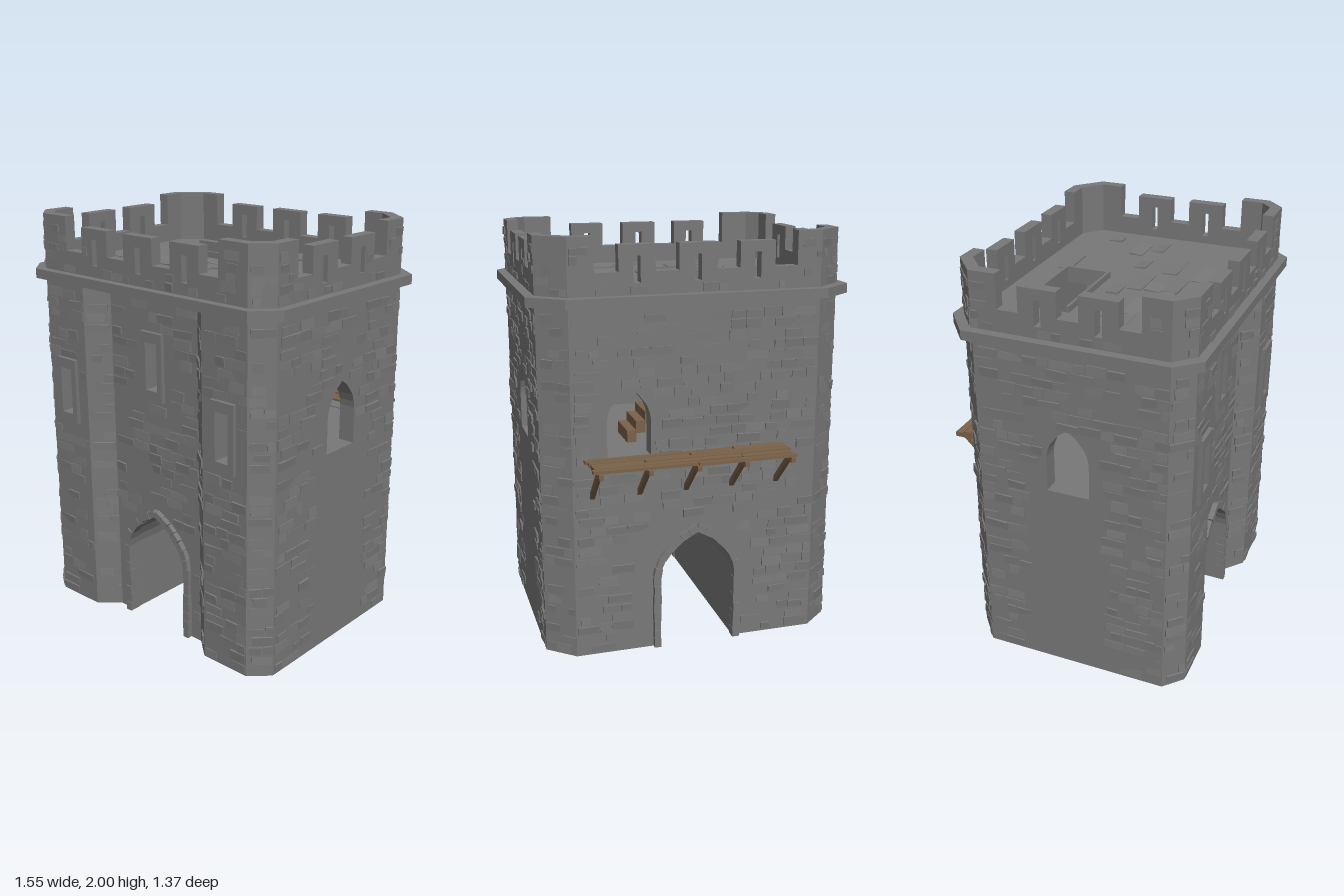
import * as THREE from 'three';
import { mergeGeometries } from 'three/addons/utils/BufferGeometryUtils.js';

const stone = new THREE.MeshStandardMaterial({ color: 0x787878, flatShading: true });
stone.name = 'grey stone';
const wood = new THREE.MeshStandardMaterial({ color: 0x7a6249, flatShading: true });
wood.name = 'brown wood';

let seed = 7;
const rnd = () => (seed = (seed * 16807) % 2147483647) / 2147483647;
const vary = (a, b) => a + (b - a) * rnd();
const V = (x, y) => new THREE.Vector2(x, y);

function add(parent, name, geo, mat = stone) {
  const m = new THREE.Mesh(geo, mat);
  m.name = name;
  parent.add(m);
  return m;
}
function box(w, h, d, x, y, z) {
  return new THREE.BoxGeometry(w, h, d).translate(x, y, z);
}
const extrude = (shape, depth) => new THREE.ExtrudeGeometry(shape, { depth, bevelEnabled: false });
const rect = (x0, x1, y0, y1) => [V(x0, y0), V(x1, y0), V(x1, y1), V(x0, y1)];

// Pointed arch outline, from bottom right over the peak to bottom left
function arch(cx, hw, y0, spring, peak) {
  const half = [[1, 0], [0.95, 0.2], [0.82, 0.44], [0.42, 0.79]].map(([a, b]) => [a * hw, spring + b * (peak - spring)]);
  return [V(cx + hw, y0), ...half.map(([x, y]) => V(cx + x, y)), V(cx, peak),
    ...half.reverse().map(([x, y]) => V(cx - x, y)), V(cx - hw, y0)];
}
// Horizontal slab from a plan outline of [x, z] points
function slab(plan, y, h, hole) {
  const s = new THREE.Shape(plan.map(([x, z]) => V(x, -z)));
  if (hole) s.holes.push(new THREE.Path(hole.map(([x, z]) => V(x, -z))));
  return extrude(s, h).rotateX(-Math.PI / 2).translate(0, y, 0);
}
// Group standing on a plan edge: local x runs along it, local z points outward
function face(parent, name, [ax, az], [bx, bz]) {
  const g = new THREE.Group();
  g.name = name;
  g.position.set((ax + bx) / 2, 0, (az + bz) / 2);
  g.rotation.y = Math.atan2(az - bz, bx - ax);
  g.userData.half = Math.hypot(bx - ax, bz - az) / 2;
  parent.add(g);
  return g;
}
// Slightly tilted raised stones in rows, skipping keep-out rectangles
function stones(g, x0, x1, y0, y1, keep, rowH = 0.05, len = 0.085, chance = 0.6) {
  const list = [];
  for (let y = y0; y < y1 - rowH * 0.8; y += rowH) {
    for (let x = x0 + vary(0, len * 0.3); x < x1 - len * 0.4;) {
      const w = Math.min(vary(0.6, 1.5) * len, x1 - x), h = rowH * vary(0.75, 1);
      const blocked = keep.some(k => x < k[1] && x + w > k[0] && y < k[3] && y + h > k[2]);
      if (!blocked && rnd() < chance) {
        list.push(new THREE.BoxGeometry(w - 0.006, h - 0.004, 0.016)
          .rotateX(vary(-0.12, 0.12)).rotateY(vary(-0.07, 0.07)).rotateZ(vary(-0.03, 0.03))
          .translate(x + w / 2, y + h / 2, vary(-0.006, 0)));
      }
      x += w;
    }
  }
  if (list.length) add(g, 'raisedStones', mergeGeometries(list));
}

// Tower plan, counter-clockwise from the front right corner
const octagon = [[-.64, .645], [.64, .645], [.73, .56], [.73, -.36], [.6, -.47], [-.6, -.47], [-.73, -.36], [-.73, .56]];
const recess = [[-.38, .645], [-.28, .56], [.28, .56], [.38, .645]];
const plan = [octagon[0], ...recess, ...octagon.slice(1)];
const GATE = [0, 0.19, 0, 0.37, 0.585];

function wall(g, { gate, window, slit, plain } = {}) {
  const half = g.userData.half, keep = plain ? [plain] : [], t = 0.08;
  const outline = [V(half, 0), V(half, 1.7), V(-half, 1.7), V(-half, 0)];
  if (gate) outline.push(...arch(...GATE).reverse());
  const s = new THREE.Shape(outline);
  if (gate) {
    keep.push([-0.22, 0.22, 0, 0.56], [-0.1, 0.1, 0, 0.63]);
    // Stones lining the gate arch
    const path = new THREE.Path().setFromPoints(arch(0, 0.202, 0, 0.38, 0.605));
    const n = 30, p = path.getSpacedPoints(n), list = [];
    for (let i = 0; i < n; i++) {
      const d = p[i + 1].clone().sub(p[i]);
      list.push(new THREE.BoxGeometry(d.length() * 0.97, vary(0.03, 0.038), vary(0.044, 0.056))
        .rotateZ(d.angle()).translate((p[i].x + p[i + 1].x) / 2, Math.max(0.024, (p[i].y + p[i + 1].y) / 2), 0));
    }
    add(g, 'gateArchStones', mergeGeometries(list));
  }
  if (window !== undefined) {
    s.holes.push(new THREE.Path(arch(window, 0.104, 0.985, 1.16, 1.315)));
    keep.push([window - 0.11, window + 0.11, 0.97, 1.3]);
  }
  if (slit) {
    const [x, y] = slit;
    s.holes.push(new THREE.Path(rect(x - .037, x + .037, y + .05, y + .28)));
    const frame = new THREE.Shape(rect(x - .068, x + .068, y, y + .33));
    frame.holes.push(new THREE.Path(rect(x - .037, x + .037, y + .05, y + .28)));
    add(g, 'slitFrame', extrude(frame, 0.06).translate(0, 0, -0.04));
    keep.push([x - .075, x + .075, y, y + .33]);
  }
  add(g, 'wall', extrude(s, t).translate(0, 0, -t));
  stones(g, -half, half, 0.01, 1.69, keep);
}

function parapet(g, merlons, slits) {
  const half = g.userData.half, low = 1.84, keep = [];
  const pts = [V(-half, 1.72)];
  merlons.forEach(([a, b, top], i) => {
    if (i) {
      pts.push(V(a, low));
      keep.push([merlons[i - 1][1], a, low - 0.02, 2]);
    }
    pts.push(V(a, top), V(b, top));
    keep.push([a, b, top - 0.01, 2.1]);
    if (i < merlons.length - 1) pts.push(V(b, low));
  });
  pts.push(V(half, 1.72));
  const s = new THREE.Shape(pts);
  slits.forEach(x => {
    s.holes.push(new THREE.Path(rect(x - .016, x + .016, 1.79, 1.91)));
    keep.push([x - .02, x + .02, 1.78, 1.92]);
  });
  add(g, 'battlement', extrude(s, 0.055).translate(0, 0, -0.055));
  stones(g, -half, half, 1.74, 2, keep, 0.045, 0.06, 0.5);
}

export function createModel() {
  const model = new THREE.Group();
  model.name = 'gatehouseTower';

  // Walls, keyed by plan edge
  const details = {
    0: { slit: [0, 0.98] }, 2: { gate: true, slit: [0, 1.18] }, 4: { slit: [0, 0.98] },
    6: { window: 0.015, plain: [-.13, .2, 0, .97] }, 8: { gate: true, window: -0.33 },
    10: { window: -0.015, plain: [-.2, .13, 0, .97] },
  };
  plan.forEach((p, i) => wall(face(model, 'wallSide', p, plan[(i + 1) % plan.length]), details[i]));

  // Gate passage, footings and inner floor
  const ring = new THREE.Shape([...arch(0, 0.23, 0, 0.38, 0.63), ...arch(...GATE).reverse()]);
  add(model, 'gatePassage', extrude(ring, 1.0).translate(0, 0, -0.455));
  const footing = [[.19, .56], [.28, .56], [.38, .645], [.64, .645], [.73, .56], [.73, -.36], [.6, -.47], [.19, -.47]];
  add(model, 'leftFooting', slab(footing, 0, 0.02));
  add(model, 'rightFooting', slab(footing.map(([x, z]) => [-x, z]).reverse(), 0, 0.02));
  add(model, 'innerFloor', slab(plan.map(([x, z]) => [x * .97, z * .97]), 0.955, 0.025));

  // Cornice around the top
  const cornice = [[-.67, .685], [.67, .685], [.775, .575], [.775, -.39], [.62, -.515], [-.62, -.515], [-.775, -.39], [-.775, .575]];
  add(model, 'cornice', slab(cornice, 1.69, 0.046, octagon.map(([x, z]) => [x * .85, z * .82])));

  // Roof deck with a stair opening
  const hatch = [[-.45, -.24], [.01, -.24], [.01, -.035], [-.45, -.035]];
  add(model, 'roofDeck', slab(octagon.map(([x, z]) => [x * .98, z * .98]), 1.7, 0.05, hatch));
  const slabs = new THREE.Group();
  slabs.name = 'roofPaving';
  slabs.rotation.x = -Math.PI / 2;
  slabs.position.y = 1.75;
  model.add(slabs);
  stones(slabs, -.58, .58, -.52, .36, [[-.48, .04, .01, .27]], 0.085, 0.15, 0.4);
  add(model, 'hatchCurb', mergeGeometries([
    box(.475, .05, .014, -.213, 1.755, -.246), box(.475, .05, .014, -.213, 1.755, -.029), box(.014, .05, .23, .018, 1.755, -.1375),
  ]));

  // Battlements
  octagon.forEach((p, i) => {
    const g = face(model, 'battlementSide', p, octagon[(i + 1) % 8]), h = g.userData.half;
    if (i % 2) parapet(g, [[-h, h, 2]], []);
    else if (i % 4 === 0) {
      parapet(g, [[-h, -.48, 2], [-.37, -.2, 1.96], [-.09, .09, 1.96], [.2, .37, 1.96], [.48, h, 2]], [-.285, 0, .285]);
    } else parapet(g, [[-h, -.33, 2], [-.23, -.05, 1.96], [.05, .23, 1.96], [.33, h, 2]], [-.14, .14]);
  });

  // Stairs: main flight down from the roof, short flight inside
  const steps = [];
  for (let i = 0; i < 16; i++) {
    steps.push(box(.046, .06, .19, -.418 + i * .045, 1.685 - i * .045, -.1375));
  }
  for (let i = 0; i < 6; i++) steps.push(box(.16, .05, .045, -.3, 1.005 + i * .036, .1 + i * .037));
  add(model, 'stairs', mergeGeometries(steps), wood);

  // Rear balcony: planks, bearers and slanting struts
  const planks = [], supports = [];
  for (let i = 0; i < 5; i++) {
    const split = [-.17, .055, .285][i % 3], ends = [-.42 + vary(-.01, .01), split, .54 + vary(-.01, .01)];
    for (let k = 0; k < 2; k++) {
      const w = ends[k + 1] - ends[k];
      planks.push(new THREE.BoxGeometry(w - .005, .014, .034).rotateY(vary(-.008, .008)).rotateX(vary(-.08, .08))
        .translate(ends[k] + w / 2, .988 + vary(-.003, .004), -.492 - i * .041));
    }
  }
  for (let i = 0; i < 5; i++) {
    const x = -.4 + i * .2275;
    supports.push(box(.022, .024, .235, x, .97, -.5675));
    supports.push(new THREE.BoxGeometry(.022, .022, .235).rotateX(Math.PI / 4).translate(x, .888, -.55));
  }
  add(model, 'balconyPlanks', mergeGeometries(planks), wood);
  add(model, 'balconyBrackets', mergeGeometries(supports), wood);
  return model;
}
